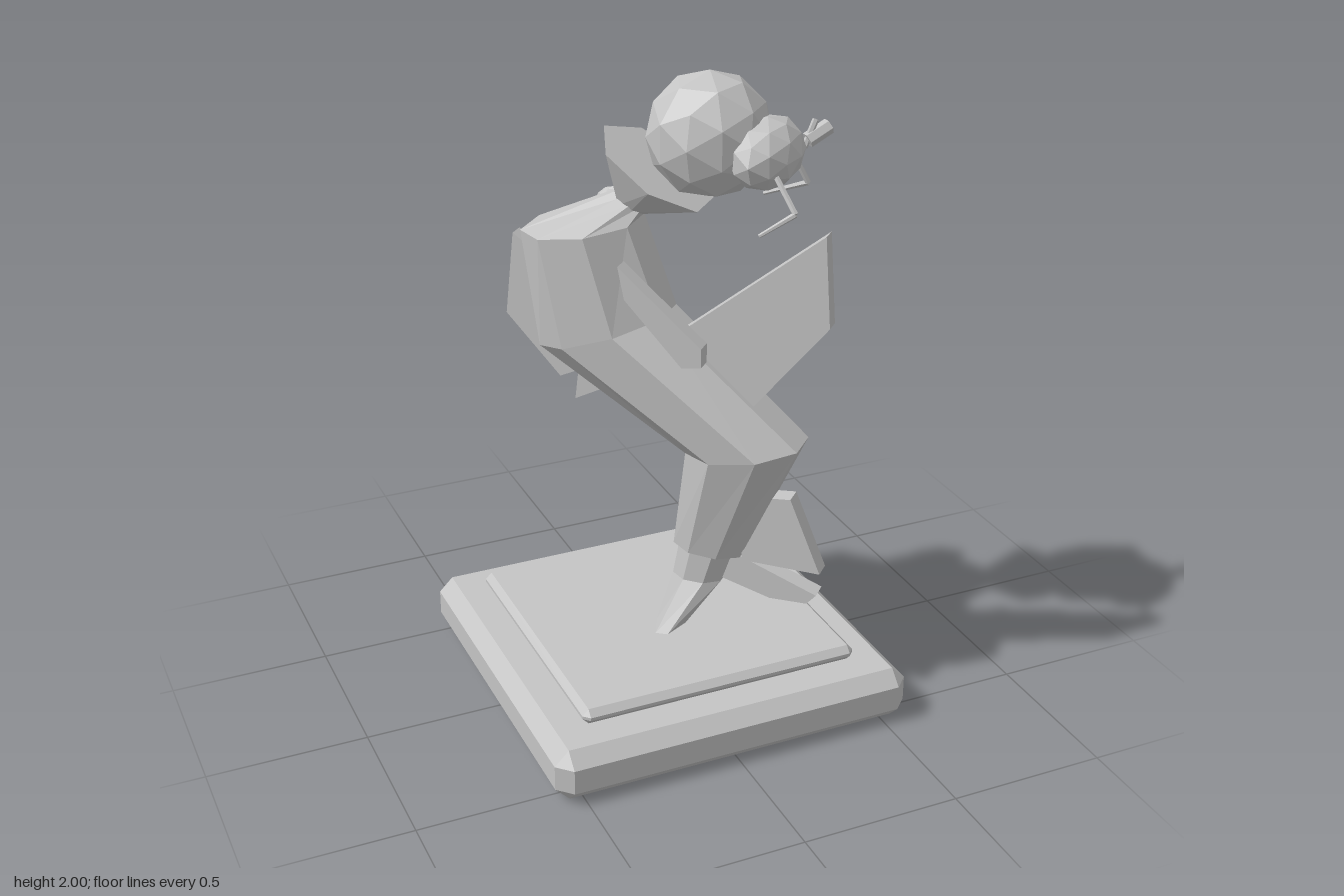
import * as THREE from 'three';
import { ConvexGeometry } from 'three/addons/geometries/ConvexGeometry.js';

const stone = new THREE.MeshStandardMaterial({ color: 0xc4c4c4, flatShading: true, side: THREE.DoubleSide });
stone.name = 'grey stone';

function add(parent, name, geometry) {
  const mesh = new THREE.Mesh(geometry, stone);
  mesh.name = name;
  parent.add(mesh);
  return mesh;
}

// Square slab with every edge chamfered
function slab(half, y0, y1, c) {
  const pts = [];
  for (const sx of [-1, 1]) for (const sz of [-1, 1]) for (const [y, s] of [[y0, 1], [y1, -1]]) {
    pts.push(
      new THREE.Vector3(sx * half, y + s * c, sz * (half - c)),
      new THREE.Vector3(sx * (half - c), y, sz * (half - c)),
      new THREE.Vector3(sx * (half - c), y + s * c, sz * half));
  }
  return new ConvexGeometry(pts);
}

// Skin over tilted elliptical rings: [x, y, tilt, radius along x, radius along z, z]
function loft(rings, sides = 8) {
  const pos = [], idx = [];
  for (const [x, y, tilt, a, b, z = 0] of rings) {
    for (let i = 0; i < sides; i++) {
      const t = (i / sides) * Math.PI * 2 + Math.PI / sides;
      const r = a * Math.cos(t) / Math.cos(Math.PI / sides);
      pos.push(x + r * Math.cos(tilt), y + r * Math.sin(tilt), z + b * Math.sin(t) / Math.cos(Math.PI / sides));
    }
  }
  for (let k = 0; k < rings.length - 1; k++) {
    for (let i = 0; i < sides; i++) {
      const p = k * sides + i, q = k * sides + (i + 1) % sides;
      idx.push(p, p + sides, q, q, p + sides, q + sides);
    }
  }
  const top = (rings.length - 1) * sides;
  for (let i = 1; i < sides - 1; i++) {
    idx.push(0, i, i + 1, top, top + i + 1, top + i);
  }
  const g = new THREE.BufferGeometry();
  g.setAttribute('position', new THREE.Float32BufferAttribute(pos, 3));
  g.setIndex(idx);
  const out = g.toNonIndexed();
  out.computeVertexNormals();
  return out;
}

// Flat plate from an outline in the body plane
function plate(outline, z, thickness) {
  const shape = new THREE.Shape(outline.map(([x, y]) => new THREE.Vector2(x, y)));
  return new THREE.ExtrudeGeometry(shape, { depth: thickness, bevelEnabled: false })
    .translate(0, 0, z - thickness / 2);
}

// Thin straight rods joining a list of points
function rods(parent, name, points, r0, r1 = r0) {
  const v = points.map((p) => new THREE.Vector3(...p));
  for (let i = 0; i < v.length - 1; i++) {
    const dir = v[i + 1].clone().sub(v[i]);
    const rod = add(parent, name, new THREE.CylinderGeometry(i ? r1 : r0, r0, dir.length(), 6));
    rod.position.copy(v[i]).addScaledVector(dir, 0.5);
    rod.quaternion.setFromUnitVectors(new THREE.Vector3(0, 1, 0), dir.normalize());
  }
}

function blob(parent, name, geometry, p, s) {
  const mesh = add(parent, name, geometry);
  mesh.position.set(...p);
  mesh.scale.set(...s);
}

export function createModel() {
  const model = new THREE.Group();
  model.name = 'fishStatue';

  // Pedestal
  add(model, 'pedestalBase', slab(0.585, 0, 0.17, 0.045));
  add(model, 'pedestalTop', slab(0.455, 0.17, 0.22, 0.02));

  // Fish: local +x is the way it faces, along the pedestal's diagonal
  const fish = new THREE.Group();
  fish.name = 'fish';
  fish.rotation.y = -Math.PI / 4;
  model.add(fish);

  // Body, from tail foot to shoulders and neck
  add(fish, 'tailFoot', loft([
    [0.06, 0.235, 0.1, 0.05, 0.14, 0.03],
    [0.13, 0.39, 0, 0.08, 0.06, 0.02],
    [0.16, 0.51, 0, 0.09, 0.07, 0.01],
  ]));
  add(fish, 'body', loft([
    [0.16, 0.49, -0.05, 0.11, 0.075, 0.01],
    [0.28, 0.87, 0.18, 0.18, 0.14, 0.025],
    [-0.17, 1.2, 0.35, 0.21, 0.16, 0.03],
    [-0.25, 1.52, 0.15, 0.175, 0.165, 0.025],
    [-0.1, 1.61, -0.3, 0.05, 0.045],
  ]));
  add(fish, 'gillCollar', loft([
    [-0.1, 1.58, -0.3, 0.045, 0.04],
    [-0.03, 1.7, -0.56, 0.18, 0.16, -0.03],
  ], 7));

  // Head and muzzle
  const ball = new THREE.IcosahedronGeometry(1, 1);
  blob(fish, 'head', ball, [0.12, 1.81, -0.057], [0.188, 0.19, 0.188]);
  blob(fish, 'muzzle', ball, [0.297, 1.775, -0.057], [0.105, 0.105, 0.17]);

  // Eye spots and round side scales on one flank
  const disc = new THREE.SphereGeometry(1, 12, 8);
  blob(fish, 'upperEye', disc, [0.165, 1.87, -0.227], [0.034, 0.034, 0.018]);
  blob(fish, 'upperPupil', disc, [0.165, 1.87, -0.243], [0.014, 0.014, 0.008]);
  blob(fish, 'lowerEye', disc, [0.124, 1.74, -0.226], [0.048, 0.048, 0.018]);
  for (const [x, y, z] of [[-0.23, 1.48, -0.17], [-0.07, 1.16, -0.145], [0.31, 0.85, -0.125]]) {
    blob(fish, 'sideScale', disc, [x, y, z], [0.07, 0.09, 0.027]);
  }

  // Nose knob and whiskers, placed in pedestal axes
  rods(model, 'noseKnob', [[0.385, 1.79, 0.16], [0.455, 1.825, 0.16]], 0.024);
  rods(model, 'noseStem', [[0.375, 1.77, 0.16], [0.41, 1.85, 0.16]], 0.01);
  rods(model, 'leftWhisker', [[0.36, 1.78, 0.06], [0.435, 1.63, 0.08], [0.35, 1.57, -0.04]], 0.009, 0.006);
  rods(model, 'rightWhisker', [[0.22, 1.74, 0.29], [0.245, 1.65, 0.365], [0.16, 1.58, 0.31]], 0.009, 0.006);

  // Fins: name, outline, z, thickness
  const fins = [
    ['frontFin', [[0.52, 1.59], [0.54, 1.31], [0.31, 1.02], [0.04, 1.12], [0.08, 1.23]], 0.045, 0.05],
    ['rearFin', [[-0.52, 1.42], [-0.55, 1.15], [-0.37, 0.96], [-0.12, 1.08], [-0.2, 1.2]], -0.08, 0.05],
    ['leftSideFin', [[-0.1, 1.17], [-0.34, 1.15], [-0.38, 0.82], [-0.04, 1]], -0.22, 0.06],
    ['rightSideFin', [[-0.07, 1.46], [-0.05, 1.36], [0.13, 1.17], [0.19, 1.18], [0.19, 1.24]], 0.165, 0.05],
    ['upperTailFin', [[0.25, 0.7], [0.43, 0.72], [0.53, 0.48], [0.28, 0.48]], 0.015, 0.06],
    ['lowerTailFin', [[0.2, 0.5], [0.27, 0.49], [0.52, 0.4], [0.49, 0.365], [0.37, 0.36], [0.14, 0.42]], 0.01, 0.06],
  ];
  for (const [name, outline, z, thickness] of fins) add(fish, name, plate(outline, z, thickness));

  // Fin ribs
  rods(fish, 'frontFinRib', [[0.47, 1.34, 0.013], [0.48, 1.53, 0.013], [0.16, 1.28, 0.013]], 0.009);
  rods(fish, 'rearFinRib', [[-0.46, 1.2, -0.112], [-0.47, 1.38, -0.112], [-0.22, 1.19, -0.112]], 0.009);

  return model;
}
